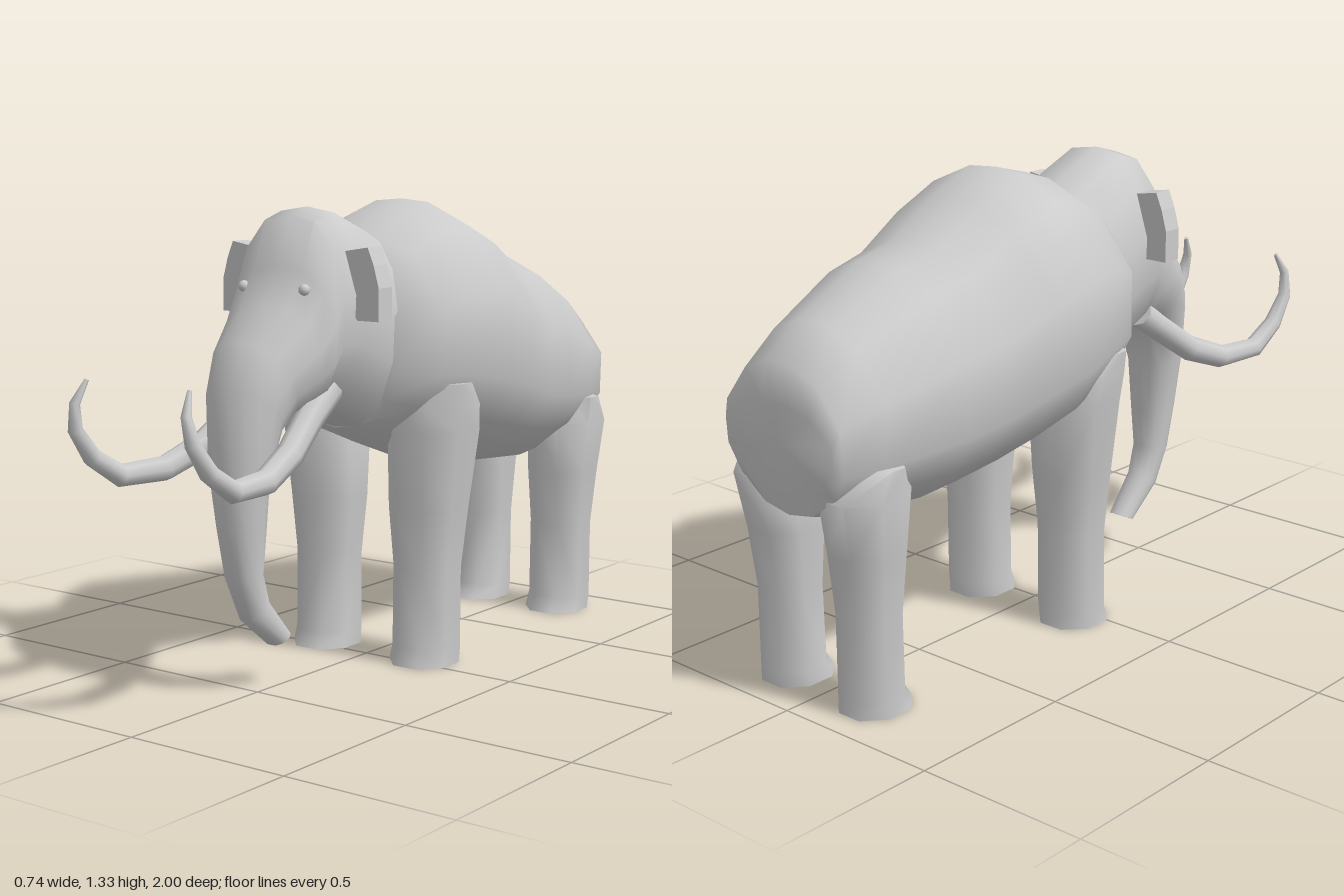
import * as THREE from 'three';
import { toCreasedNormals } from 'three/addons/utils/BufferGeometryUtils.js';

const material = new THREE.MeshStandardMaterial({ color: 0xcccccc, side: THREE.DoubleSide });

// Skin a row of equally divided rings, closing both ends; winding is set outward by signed volume.
function loft(rings, crease = 1.0) {
  const n = rings[0].length;
  const pts = rings.flat();
  let index = [];
  for (let r = 0; r < rings.length - 1; r++) {
    for (let i = 0; i < n; i++) {
      const a = r * n + i, b = r * n + (i + 1) % n;
      index.push(a, b, b + n, a, b + n, a + n);
    }
  }
  [0, rings.length - 1].forEach((r, end) => {
    const centre = new THREE.Vector3();
    rings[r].forEach(p => centre.addScaledVector(p, 1 / n));
    const c = pts.push(centre) - 1;
    for (let i = 0; i < n; i++) {
      const a = r * n + i, b = r * n + (i + 1) % n;
      index.push(c, ...(end ? [a, b] : [b, a]));
    }
  });
  let volume = 0;
  const cross = new THREE.Vector3();
  for (let i = 0; i < index.length; i += 3) {
    volume += pts[index[i]].dot(cross.crossVectors(pts[index[i + 1]], pts[index[i + 2]]));
  }
  if (volume < 0) index.reverse();
  const geometry = new THREE.BufferGeometry().setFromPoints(pts);
  geometry.setIndex(index);
  return toCreasedNormals(geometry, crease);
}

// Complete a right-hand half profile (top to bottom) by mirroring it.
const mirrored = half => [...half, ...half.slice(1, -1).reverse().map(([u, v]) => [-u, v])];

// Ring spanned between an upper and a lower point (z, y) with half width w.
function spanRing([tz, ty, bz, by, w], profile) {
  return profile.map(([u, v]) => new THREE.Vector3(
    u * w, (ty + by) / 2 + v * (ty - by) / 2, (tz + bz) / 2 + v * (tz - bz) / 2));
}

const torsoProfile = mirrored([[0, 1], [0.25, 0.98], [0.62, 0.82], [1, 0.33], [1, -0.3],
  [0.82, -0.62], [0.42, -0.92], [0, -1]]);
const headProfile = mirrored([[0, 1], [0.45, 0.95], [0.8, 0.65], [1, 0.2], [0.97, -0.3],
  [0.75, -0.75], [0.4, -0.96], [0, -1]]);

// Leg rings: [y, xInner, xOuter, zBack, zFront]
const frontLegRings = [[0, 0.085, 0.272, -0.14, 0.06], [0.045, 0.085, 0.272, -0.14, 0.04],
  [0.28, 0.085, 0.272, -0.14, 0.035], [0.45, 0.07, 0.29, -0.155, 0.045],
  [0.68, 0.07, 0.315, -0.19, 0.07], [0.76, 0.1, 0.325, -0.17, 0.07], [0.825, 0.16, 0.33, -0.09, 0.04]];
const hindLegRings = [[0, 0.06, 0.24, -0.92, -0.72], [0.045, 0.06, 0.24, -0.92, -0.75],
  [0.28, 0.06, 0.24, -0.92, -0.755], [0.45, 0.05, 0.255, -0.94, -0.74],
  [0.61, 0.05, 0.27, -0.97, -0.725], [0.69, 0.1, 0.27, -0.89, -0.78]];

function legGeometry(rings, side) {
  return loft(rings.map(([y, x0, x1, z0, z1]) => Array.from({ length: 8 }, (_, i) => {
    const a = (i + 0.5) * Math.PI / 4, k = 1 / Math.cos(Math.PI / 8);
    return new THREE.Vector3(side * ((x0 + x1) / 2 + Math.cos(a) * k * (x1 - x0) / 2), y,
      (z0 + z1) / 2 + Math.sin(a) * k * (z1 - z0) / 2);
  })));
}

// Tusk: six-sided rings swept along a curve, thinning to the tip.
function tuskGeometry(side) {
  const path = [[0.12, 0.83, 0.33], [0.125, 0.765, 0.42], [0.15, 0.68, 0.54], [0.175, 0.63, 0.67],
    [0.195, 0.63, 0.82], [0.2, 0.69, 0.915], [0.2, 0.77, 0.975], [0.19, 0.84, 0.985], [0.175, 0.9, 0.955]]
    .map(([x, y, z]) => new THREE.Vector3(side * x, y, z));
  const radii = [0.042, 0.04, 0.038, 0.035, 0.031, 0.026, 0.02, 0.014, 0.006];
  return loft(path.map((p, i) => {
    const t = path[Math.min(i + 1, path.length - 1)].clone().sub(path[Math.max(i - 1, 0)]).normalize();
    const up = new THREE.Vector3().crossVectors(t, new THREE.Vector3(1, 0, 0)).normalize();
    const across = new THREE.Vector3().crossVectors(up, t);
    return Array.from({ length: 8 }, (_, k) => p.clone()
      .addScaledVector(up, Math.cos(k * Math.PI / 4) * radii[i])
      .addScaledVector(across, Math.sin(k * Math.PI / 4) * radii[i]));
  }));
}

// Ear: small thick flap with an angular outline.
function earGeometry(side) {
  const outline = [[0.13, 1.2], [0.235, 1.217], [0.255, 1.17], [0.272, 1.11], [0.272, 1.02],
    [0.2, 1.02], [0.175, 1.06], [0.13, 1.09]];
  const shape = new THREE.Shape(outline.map(([x, y]) => new THREE.Vector2(side * x, y)));
  return new THREE.ExtrudeGeometry(shape, { depth: 0.06, bevelEnabled: false }).translate(0, 0, 0.25);
}

export function createModel() {
  const model = new THREE.Group();
  const add = (name, geometry) => {
    const mesh = new THREE.Mesh(geometry, material);
    mesh.name = name;
    model.add(mesh);
    return mesh;
  };

  // Torso from rump to shoulders
  const torso = [
    [-1, 0.85, -0.985, 0.62, 0.195], [-0.98, 0.95, -0.965, 0.54, 0.21], [-0.86, 1.03, -0.85, 0.51, 0.245],
    [-0.62, 1.14, -0.62, 0.495, 0.31], [-0.49, 1.17, -0.49, 0.505, 0.325], [-0.33, 1.26, -0.33, 0.525, 0.355],
    [-0.17, 1.325, -0.19, 0.55, 0.372], [-0.04, 1.29, -0.02, 0.61, 0.335], [0.05, 1.235, 0.06, 0.645, 0.305],
    [0.15, 1.18, 0.15, 0.69, 0.21],
  ];
  add('torso', loft(torso.map(r => spanRing(r, torsoProfile))));

  // Neck, domed head and trunk in one continuous skin
  const head = [
    [0.02, 1.21, 0.05, 0.66, 0.2], [0.14, 1.265, 0.14, 0.69, 0.21], [0.27, 1.318, 0.28, 0.75, 0.205],
    [0.35, 1.295, 0.34, 0.77, 0.19], [0.4, 1.16, 0.37, 0.77, 0.19], [0.46, 1.06, 0.4, 0.77, 0.175],
    [0.56, 0.97, 0.44, 0.755, 0.14], [0.615, 0.85, 0.475, 0.72, 0.118], [0.64, 0.64, 0.497, 0.61, 0.085],
    [0.625, 0.48, 0.5, 0.45, 0.066], [0.6, 0.33, 0.505, 0.34, 0.052], [0.55, 0.21, 0.475, 0.26, 0.043],
    [0.44, 0.12, 0.38, 0.15, 0.036],
  ];
  add('headAndTrunk', loft(head.map(r => spanRing(r, headProfile))));

  // Paired parts
  for (const [label, side] of [['left', 1], ['right', -1]]) {
    add(label + 'FrontLeg', legGeometry(frontLegRings, side));
    add(label + 'HindLeg', legGeometry(hindLegRings, side));
    add(label + 'Tusk', tuskGeometry(side));
    add(label + 'Ear', earGeometry(side));
    add(label + 'Eye', new THREE.SphereGeometry(0.016, 10, 8)).position.set(side * 0.105, 1.105, 0.417);
  }
  return model;
}
